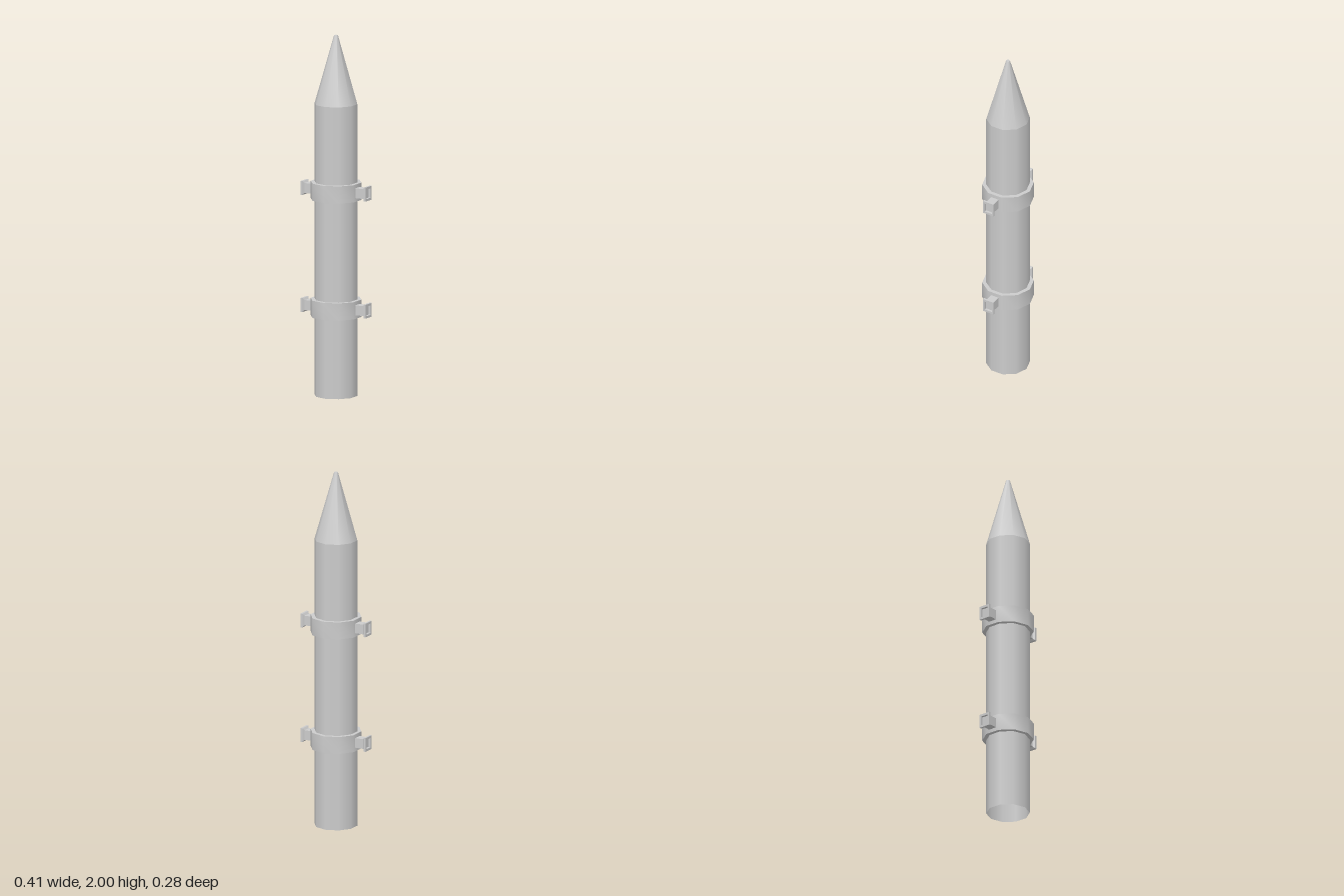
import * as THREE from 'three';
import { toCreasedNormals } from 'three/addons/utils/BufferGeometryUtils.js';

const SIDES = 10;
const BODY_R = 0.119, SHOULDER_Y = 1.62, TIP_R = 0.011;
const RING_R = 0.141, RING_H = 0.096;

const grey = new THREE.MeshStandardMaterial({ color: 0xcccccc });
const greyOpen = new THREE.MeshStandardMaterial({ color: 0xcccccc, side: THREE.DoubleSide });

const toPoints = (list) => list.map(([r, y]) => new THREE.Vector2(r, y));

function addMesh(parent, name, geometry, material, y = 0) {
  const mesh = new THREE.Mesh(geometry, material);
  mesh.name = name;
  mesh.position.y = y;
  parent.add(mesh);
  return mesh;
}

// Collar: ten-sided band with flat top and bottom, wrapped round the body
function collarGeometry() {
  const h = RING_H / 2, inner = BODY_R - 0.002;
  const profile = toPoints([[inner, -h], [RING_R, -h], [RING_R, h], [inner, h]]);
  return toCreasedNormals(new THREE.LatheGeometry(profile, SIDES), Math.PI / 4);
}

// Lug: square arm flaring into a flange with a recessed end, pointing along +x
function lugGeometry() {
  const profile = toPoints([
    [0.024, 0.125], [0.024, 0.184],                 // arm
    [0.034, 0.192], [0.034, 0.204],                 // flare and flange rim
    [0.023, 0.204], [0.023, 0.19], [0, 0.19],       // recess
  ].map(([half, x]) => [half * Math.SQRT2, x]));
  const lathe = new THREE.LatheGeometry(profile, 4, Math.PI / 4);
  lathe.rotateZ(-Math.PI / 2);
  lathe.scale(1, 1.14, 1);
  return toCreasedNormals(lathe, 0.1);
}

export function createModel() {
  const model = new THREE.Group();
  model.name = 'pointedTube';

  // Hollow body, open at the bottom
  addMesh(model, 'body',
    new THREE.CylinderGeometry(BODY_R, BODY_R, SHOULDER_Y, SIDES, 1, true),
    greyOpen, SHOULDER_Y / 2);

  // Tapered nose with a small blunt tip
  const noseH = 2 - SHOULDER_Y;
  addMesh(model, 'nose',
    new THREE.CylinderGeometry(TIP_R, BODY_R, noseH, SIDES, 1, true),
    greyOpen, SHOULDER_Y + noseH / 2);
  const tip = addMesh(model, 'tip', new THREE.CircleGeometry(TIP_R, SIDES, Math.PI / 2), greyOpen, 2);
  tip.rotation.x = -Math.PI / 2;

  // Two collars, each with a lug on both sides
  const collarGeo = collarGeometry(), lugGeo = lugGeometry();
  for (const [name, y] of [['lowerMount', 0.488], ['upperMount', 1.138]]) {
    const mount = new THREE.Group();
    mount.name = name;
    mount.position.y = y;
    addMesh(mount, 'collar', collarGeo, grey);
    addMesh(mount, 'leftLug', lugGeo, grey);
    addMesh(mount, 'rightLug', lugGeo, grey).rotation.y = Math.PI;
    model.add(mount);
  }
  return model;
}
